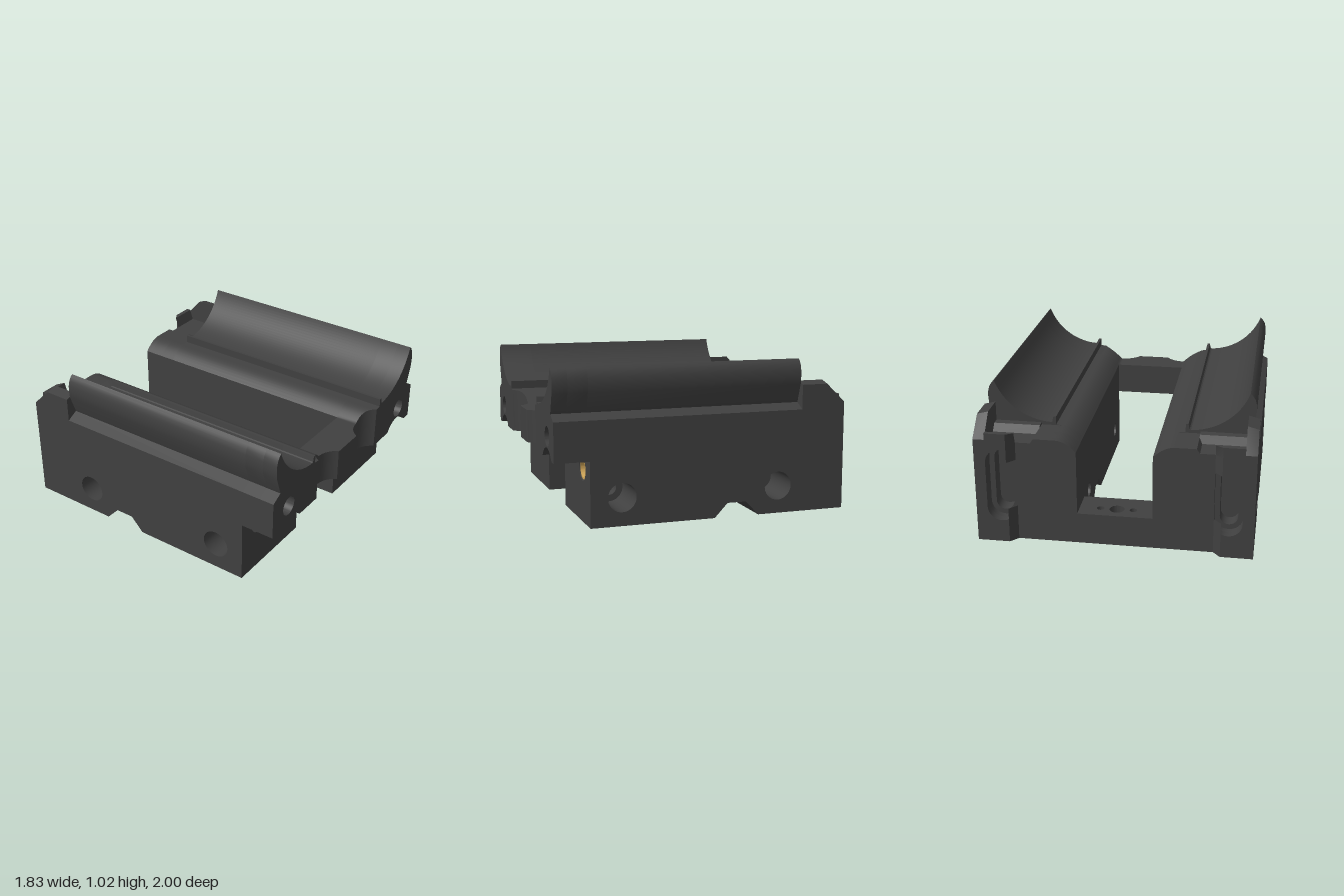
import * as THREE from 'three';
import { toCreasedNormals } from 'three/addons/utils/BufferGeometryUtils.js';

const dark = new THREE.MeshStandardMaterial({ color: 0x404040 });
const brass = new THREE.MeshStandardMaterial({ color: 0xd4a95a });

// Shape from points, with optional holes
function shape(points, holes = []) {
  const s = new THREE.Shape(points.map(([x, y]) => new THREE.Vector2(x, y)));
  s.holes.push(...holes);
  return s;
}
const rect = (x0, y0, x1, y1) => [[x0, y0], [x1, y0], [x1, y1], [x0, y1]];
const circle = (x, y, r) => new THREE.Path().absarc(x, y, r, 0, Math.PI * 2, true);

// Points along an arc, both ends included
function arc(cx, cy, r, a0, a1, n = 16) {
  return Array.from({ length: n + 1 }, (_, i) => {
    const a = a0 + (a1 - a0) * i / n;
    return [cx + r * Math.cos(a), cy + r * Math.sin(a)];
  });
}
// Rounded slot: half width r, straight part h above and below the centre
function slot(cx, cy, r, h) {
  const pts = [...arc(cx, cy + h, r, 0, Math.PI), ...arc(cx, cy - h, r, Math.PI, Math.PI * 2)];
  return new THREE.Path(pts.map(([x, y]) => new THREE.Vector2(x, y)));
}

// Extrusions along each axis; X and Y shapes use -z as their sideways coordinate
function extrude(s, from, to) {
  return new THREE.ExtrudeGeometry(s, { depth: to - from, bevelEnabled: false, curveSegments: 24 }).translate(0, 0, from);
}
const alongZ = extrude;
const alongX = (s, from, to) => extrude(s, from, to).rotateY(Math.PI / 2);
const alongY = (s, from, to) => extrude(s, from, to).rotateX(-Math.PI / 2);

// Move vertices by a rule
function reshape(geo, rule) {
  const p = geo.attributes.position;
  const v = new THREE.Vector3();
  for (let i = 0; i < p.count; i++) {
    rule(v.fromBufferAttribute(p, i));
    p.setXYZ(i, v.x, v.y, v.z);
  }
  return geo;
}

function mirrored(geo) {
  const g = geo.clone().scale(-1, 1, 1);
  const index = [];
  for (let i = 0; i < g.attributes.position.count; i += 3) index.push(i, i + 2, i + 1);
  return g.setIndex(index);
}

// Height of the rounded inner shoulder
const shoulder = x => 0.73 - 0.075 * Math.max(0, (0.39 - Math.max(Math.abs(x), 0.25)) / 0.14) ** 2;

function shoulderPoints() {
  return Array.from({ length: 9 }, (_, i) => 0.25 + 0.14 * i / 8).map(x => [x, shoulder(x)]);
}

// Cradle cross-section from the rib round to the outer groove
const cradle = [
  [0.432, 0.735], [0.432, 0.79], [0.45, 0.79], [0.458, 0.755],
  ...arc(0.45, 1.17, 0.42, -Math.PI / 2 + 0.04, -0.355, 24),
  [0.86, 1.01], [0.876, 0.985], [0.886, 0.95], [0.888, 0.91], [0.883, 0.86], [0.838, 0.73], [0.915, 0.69],
];

// Front bridge: rectangles in y and z swept along x, with two scallops in the front
function bridgeGeometry() {
  const r = 0.158, n = 80, pos = [], idx = [];
  for (let i = 0; i <= n; i++) {
    const x = -0.39 + 0.78 * i / n, d = Math.abs(x) - 0.2525;
    const z = Math.abs(d) < 0.1375 ? 1.078 - Math.sqrt(r * r - d * d) : 1;
    const top = shoulder(x);
    pos.push(x, 0.43, 0.77, x, 0.43, z, x, top, z, x, top, 0.77);
  }
  for (let i = 0; i < n; i++) {
    for (let j = 0; j < 4; j++) {
      const a = i * 4 + j, c = i * 4 + (j + 1) % 4;
      idx.push(a, a + 4, c, a + 4, c + 4, c);
    }
  }
  const g = new THREE.BufferGeometry();
  g.setAttribute('position', new THREE.Float32BufferAttribute(pos, 3));
  return g.setIndex(idx);
}

// Flanged threaded insert with its opening along +z
function insertGeometry(inner, outer, depth) {
  return alongZ(shape(arc(0, 0, outer, 0, Math.PI * 2, 32).slice(0, -1), [circle(0, 0, inner)]), -depth, 0);
}

export function createModel() {
  const model = new THREE.Group();
  model.name = 'cradleBlock';

  const add = (name, geo, material = dark) => {
    const mesh = new THREE.Mesh(toCreasedNormals(geo, 0.5), material);
    mesh.name = name;
    model.add(mesh);
    return mesh;
  };
  const addPair = (name, geo, material = dark) => {
    const left = add(name + 'Left', geo, material);
    const right = new THREE.Mesh(mirrored(left.geometry), material);
    right.name = name + 'Right';
    model.add(right);
  };

  // Lower blocks: cross notch underneath and counterbored cross holes
  const side = [[-0.66, 0], [0.07, 0], [0.16, 0.095], [0.29, 0.095], [0.38, 0], [0.69, 0], [0.69, 0.43], [-0.66, 0.43]];
  const crossHoles = r => [circle(-0.56, 0.185, r), circle(0.52, 0.185, r)];
  addPair('lowerBlockInner', alongX(shape(side, crossHoles(0.052)), 0.25, 0.6));
  addPair('lowerBlockOuter', alongX(shape(side, crossHoles(0.095)), 0.6, 0.915));
  addPair('lowerBlockFront', alongZ(shape(rect(0.25, 0, 0.915, 0.43), [circle(0.725, 0.35, 0.079)]), 0.66, 0.77));

  // Long cradles
  const rail = [[0.25, 0.43], [0.915, 0.43], ...cradle.slice().reverse(), ...shoulderPoints().reverse()];
  addPair('cradle', alongZ(shape(rail), -0.69, 0.77));

  // Overhanging front ends: arched underside and stepped hole
  const arch = arc(0.725, 0.35, 0.15, Math.PI - 0.562, 0.562);
  const frontEnd = [[0.39, 0.43], ...arch, [0.915, 0.43], ...cradle.slice().reverse(), [0.39, 0.73]];
  addPair('frontEndInner', alongZ(shape(frontEnd, [circle(0.735, 0.575, 0.05)]), 0.77, 0.9));
  addPair('frontEnd', alongZ(shape(frontEnd, [circle(0.735, 0.575, 0.065)]), 0.9, 1));
  add('frontBridge', bridgeGeometry());

  // Rear base plate and bridge, drilled from above and slotted from below
  const flatSlot = x => {
    const pts = [...arc(x + 0.05, 0.85, 0.05, Math.PI / 2, -Math.PI / 2), ...arc(x - 0.05, 0.85, 0.05, -Math.PI / 2, -Math.PI * 1.5)];
    return new THREE.Path(pts.map(([a, b]) => new THREE.Vector2(a, b)));
  };
  add('rearBase', alongY(shape(rect(-0.915, 0.69, 0.915, 0.945),
    [circle(0, 0.845, 0.075), flatSlot(0.57), flatSlot(-0.57)]), 0, 0.1));
  add('rearBridge', alongY(shape(rect(-0.25, 0.69, 0.25, 0.945),
    [circle(0, 0.845, 0.05), circle(0.11, 0.845, 0.025), circle(-0.11, 0.845, 0.025)]), 0.1, 0.215));

  // Rear blocks in layers, so the back slot steps inward
  const rear = [[0.25, 0.1], [0.915, 0.1], [0.915, 0.7], [0.55, 0.7], [0.53, 0.73], ...shoulderPoints().reverse()];
  addPair('rearBlock', alongZ(shape(rear), -0.8, -0.69));
  addPair('rearBlockSlot', alongZ(shape(rear, [slot(0.745, 0.41, 0.06, 0.16)]), -0.9, -0.8));
  addPair('rearBlockRecess', alongZ(shape(rear, [slot(0.745, 0.41, 0.095, 0.16)]), -0.945, -0.9));

  // Corner posts: the slot breaks through their chamfered inner side
  const post = [[0.65, 0], [0.915, 0], [0.915, 0.7], [0.65, 0.7],
    ...arc(0.745, 0.57, 0.095, Math.PI * 0.98, 0), ...arc(0.745, 0.25, 0.095, 0, -Math.PI * 0.98)];
  addPair('cornerPost', reshape(alongZ(shape(post), -1, -0.945), v => {
    if (v.z < -0.99) v.x = Math.max(v.x, 0.7);
  }));

  // Rear outer walls, with sloping backs and a bevelled outer edge
  const wall = [[0.69, 0.7], [1, 0.7], [1, 0.73], [0.87, 0.875], [0.69, 0.875]];
  addPair('rearWall', reshape(alongX(shape(wall), 0.84, 0.915), v => {
    if (v.x > 0.9 && v.y > 0.86) v.y = 0.855;
  }));

  // Lips before and behind the rear pocket
  addPair('pocketFrontLip', alongX(shape([[0.69, 0.7], [0.79, 0.7], [0.745, 0.745], [0.69, 0.745]]), 0.53, 0.84));
  addPair('pocketRearLip', reshape(alongX(shape([[0.945, 0.7], [1, 0.7], [1, 0.775], [0.97, 0.775]]), 0.65, 0.84), v => {
    if (v.x < 0.7 && v.z < -0.99) v.x = 0.7;
  }));

  // Brass inserts: front faces, notch ceilings and rear bridge
  addPair('frontInsert', insertGeometry(0.055, 0.07, 0.09).translate(0.725, 0.35, 0.765), brass);
  addPair('notchInsert', insertGeometry(0.03, 0.06, 0.02).rotateX(Math.PI / 2).translate(0.775, 0.088, -0.225), brass);
  add('bridgeInsert', insertGeometry(0.05, 0.074, 0.09).rotateX(Math.PI / 2).translate(0, 0.002, -0.845), brass);

  return model;
}
